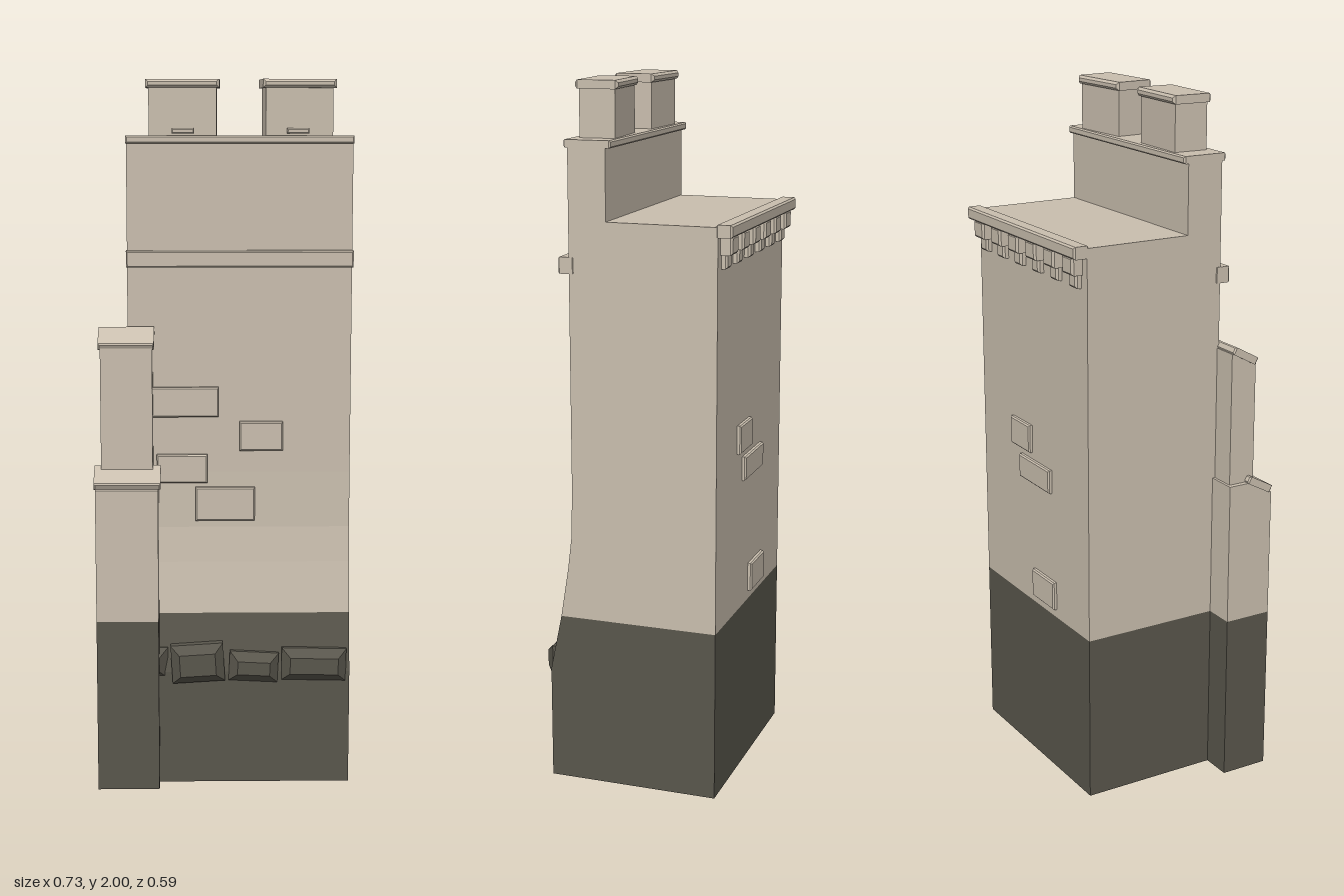
import * as THREE from 'three';

const stone = new THREE.MeshStandardMaterial({ color: 0xc9beae });
stone.name = 'pale stone';
const plinth = new THREE.MeshStandardMaterial({ color: 0x59564c });
plinth.name = 'dark plinth stone';

export function createModel() {
  const group = new THREE.Group();

  const add = (name, geometry, material, x = 0, y = 0, z = 0) => {
    const mesh = new THREE.Mesh(geometry, material);
    mesh.name = name;
    mesh.position.set(x, y, z);
    group.add(mesh);
    return mesh;
  };

  // Prism with a side profile of [z, y] points, running from x0 to x1
  const prism = (name, points, x0, x1, material) => {
    const shape = new THREE.Shape(points.map(([z, y]) => new THREE.Vector2(z, y)));
    const geometry = new THREE.ExtrudeGeometry(shape, { depth: x1 - x0, bevelEnabled: false });
    geometry.rotateY(-Math.PI / 2);
    return add(name, geometry, material, x1);
  };

  // Box with chamfered edges, centred on its origin
  const block = (w, h, d, b) => {
    const x = w / 2 - b, y = h / 2 - b;
    const shape = new THREE.Shape([[-x, -y], [x, -y], [x, y], [-x, y]].map((p) => new THREE.Vector2(...p)));
    const geometry = new THREE.ExtrudeGeometry(shape, {
      depth: d - 2 * b, bevelSize: b, bevelThickness: b, bevelSegments: 1,
    });
    return geometry.translate(0, 0, b - d / 2);
  };
  // Chamfered box given by its limits
  const slab = (name, [x0, x1], [y0, y1], [z0, z1], b = 0.004, material = stone) =>
    add(name, block(x1 - x0, y1 - y0, z1 - z0, b), material, (x0 + x1) / 2, (y0 + y1) / 2, (z0 + z1) / 2);

  // Tower body: battered dark base, pale wall, taller front parapet
  prism('base', [[-0.258, 0], [0.237, 0], [0.237, 0.33], [0.203, 0.495], [-0.258, 0.495]], -0.27, 0.36, plinth);
  prism('wall', [
    [-0.258, 0.495], [0.203, 0.495], [0.18, 0.64], [0.168, 0.74], [0.165, 0.9],
    [0.165, 1.83], [0.057, 1.83], [0.057, 1.63], [-0.258, 1.63],
  ], -0.27, 0.36, stone);
  slab('parapetCap', [-0.272, 0.362], [1.825, 1.846], [0.042, 0.176]);
  slab('stringCourse', [-0.272, 0.362], [1.484, 1.53], [0.15, 0.196]);

  // Stepped corner buttress with sloping caps
  prism('buttressBase', [[0.152, 0], [0.295, 0], [0.295, 0.495], [0.152, 0.495]], -0.36, -0.185, plinth);
  prism('buttressLower', [[0.152, 0.495], [0.295, 0.495], [0.295, 0.872], [0.22, 0.912], [0.152, 0.912]],
    -0.36, -0.185, stone);
  prism('buttressUpper', [[0.16, 0.9], [0.24, 0.9], [0.24, 1.265], [0.175, 1.298], [0.16, 1.298]],
    -0.345, -0.2, stone);
  for (const [name, x, y, z, w] of [
    ['buttressLowerCap', -0.271, 0.902, 0.254, 0.186],
    ['buttressUpperCap', -0.273, 1.288, 0.203, 0.156],
  ]) {
    add(name, block(w, 0.022, 0.088, 0.004), stone, x, y, z).rotation.x = 0.5;
  }

  // Two slightly turned chimneys
  for (const [x, turn] of [[-0.112, -0.035], [0.207, 0.07]]) {
    const chimney = new THREE.Group();
    chimney.name = 'chimney';
    chimney.position.set(x, 0, 0.108);
    chimney.rotation.y = turn;
    const shaft = new THREE.Mesh(new THREE.BoxGeometry(0.188, 0.15, 0.1), stone);
    shaft.name = 'chimneyShaft';
    shaft.position.y = 1.91;
    const cap = new THREE.Mesh(block(0.204, 0.024, 0.12, 0.007), stone);
    cap.name = 'chimneyCap';
    cap.position.y = 1.988;
    chimney.add(shaft, cap);
    group.add(chimney);
    slab('chimneyLedge', [x - 0.032, x + 0.03], [1.852, 1.866], [0.14, 0.178], 0.003);
  }

  // Rear cornice on stepped corbels
  slab('cornice', [-0.27, 0.362], [1.602, 1.637], [-0.298, -0.252], 0.005);
  for (let i = 0; i < 6; i++) {
    const x = 0.308 - i * 0.105;
    slab('corbelUpper', [x - 0.029, x + 0.029], [1.553, 1.604], [-0.291, -0.25], 0.006);
    slab('corbelLower', [x - 0.021, x + 0.021], [1.515, 1.556], [-0.275, -0.25], 0.006);
  }

  // Raised wall stones
  for (const [x0, x1, y0, y1] of [
    [-0.21, -0.014, 1.06, 1.145], [0.045, 0.168, 0.963, 1.046],
    [-0.19, -0.046, 0.87, 0.952], [-0.08, 0.089, 0.76, 0.857],
  ]) slab('frontWallStone', [x0, x1], [y0, y1], [0.15, 0.183]);
  for (const [x0, x1, y0, y1] of [
    [0.055, 0.17, 0.965, 1.048], [-0.06, 0.12, 0.875, 0.945], [-0.08, 0.05, 0.52, 0.605],
  ]) slab('rearWallStone', [x0, x1], [y0, y1], [-0.27, -0.245]);

  // Rough boulders along the base
  for (const [x0, x1, y0, y1, z1, tilt] of [
    [-0.26, -0.16, 0.31, 0.4, 0.252, 0], [-0.15, 0, 0.302, 0.413, 0.269, 0.06],
    [0.015, 0.155, 0.302, 0.388, 0.262, -0.05], [0.165, 0.35, 0.303, 0.398, 0.26, -0.02],
  ]) slab('baseBoulder', [x0, x1], [y0, y1], [z1 - 0.08, z1], 0.024, plinth).rotation.z = tilt;

  return group;
}
